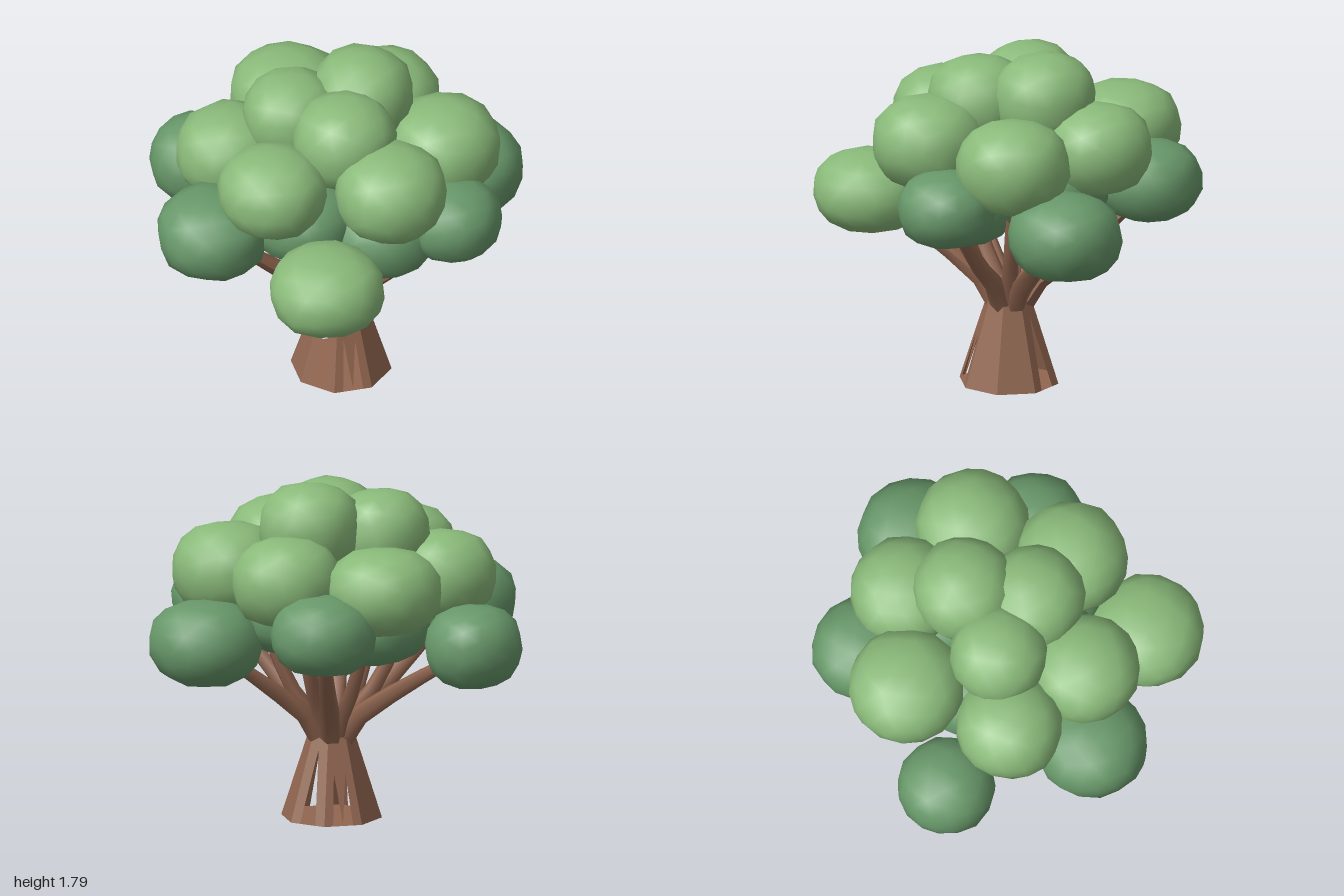
import * as THREE from 'three';
import { mergeVertices } from 'three/addons/utils/BufferGeometryUtils.js';

const material = (name, color, side = THREE.FrontSide) => {
  const m = new THREE.MeshStandardMaterial({ color, side });
  m.name = name;
  return m;
};

function seeded(seed) {
  let s = seed;
  return () => ((s = (s * 16807) % 2147483647) / 2147483647);
}

// Lumpy, slightly boxy ball of leaves, wide radius r and half height h
function leafBall(r, h, seed) {
  const rand = seeded(seed * 7919 + 13);
  let geo = new THREE.IcosahedronGeometry(1, 2);
  geo.deleteAttribute('normal');
  geo.deleteAttribute('uv');
  geo = mergeVertices(geo, 1e-3);
  geo.rotateX(rand() * 3).rotateY(rand() * 6);
  const pos = geo.attributes.position;
  const v = new THREE.Vector3();
  for (let i = 0; i < pos.count; i++) {
    v.fromBufferAttribute(pos, i);
    const round = Math.hypot(v.x, v.z);
    v.divideScalar(Math.pow(round ** 2.5 + Math.abs(v.y) ** 2.5, 1 / 2.5));
    v.multiplyScalar(0.98 + rand() * 0.04);
    pos.setXYZ(i, v.x * r, v.y * h, v.z * r);
  }
  geo.computeVertexNormals();
  return geo;
}

// Curved limb that thins towards its tip
function limbGeometry(points, r0, r1) {
  const segments = 4, sides = 6;
  const curve = new THREE.CatmullRomCurve3(points);
  const geo = new THREE.TubeGeometry(curve, segments, 1, sides);
  const pos = geo.attributes.position;
  const v = new THREE.Vector3();
  for (let i = 0; i < pos.count; i++) {
    const t = Math.floor(i / (sides + 1)) / segments;
    const c = curve.getPointAt(t);
    v.fromBufferAttribute(pos, i).sub(c).multiplyScalar(r0 + (r1 - r0) * t).add(c);
    pos.setXYZ(i, v.x, v.y, v.z);
  }
  geo.computeVertexNormals();
  return geo;
}

export function createModel() {
  const tree = new THREE.Group();
  tree.name = 'tree';
  const bark = material('bark', 0x916650, THREE.DoubleSide);
  const lightLeaf = material('lightLeaf', 0x8aba7a);
  const darkLeaf = material('darkLeaf', 0x68986a);

  const add = (parent, name, geo, mat) => {
    const mesh = new THREE.Mesh(geo, mat);
    mesh.name = name;
    parent.add(mesh);
    return mesh;
  };

  // Flared trunk of eight sloping panels with split bark
  const trunk = new THREE.Group();
  trunk.name = 'trunk';
  tree.add(trunk);
  const sides = 8, low = 0.24, high = 0.11, height = 0.44;
  const half = Math.tan(Math.PI / sides);
  const slope = Math.hypot(height, low - high);
  const doubleSplit = [[-0.053, 0], [-0.03, 0.27], [0, 0.01], [0.03, 0.27], [0.053, 0]];
  const tallSplit = [[-0.045, 0], [0, 0.39], [0.045, 0]];
  const splits = { 0: doubleSplit, 4: doubleSplit, 3: tallSplit, 7: tallSplit };
  for (let i = 0; i < sides; i++) {
    const panel = new THREE.Shape();
    panel.moveTo(-low * half, 0);
    (splits[i] ?? []).forEach(([x, y]) => panel.lineTo(x, y));
    panel.lineTo(low * half, 0);
    panel.lineTo(high * half, slope);
    panel.lineTo(-high * half, slope);
    const geo = new THREE.ShapeGeometry(panel);
    geo.rotateX(-Math.atan2(low - high, height));
    geo.translate(0, 0, low);
    geo.rotateY((i / sides) * Math.PI * 2);
    add(trunk, 'trunkPanel', geo, bark);
  }
  const base = new THREE.CircleGeometry(low / Math.cos(Math.PI / sides), sides);
  base.rotateZ(Math.PI / sides).rotateX(Math.PI / 2);
  add(trunk, 'trunkBase', base, bark);
  const fork = new THREE.CylinderGeometry(0.075, 0.11, 0.12, sides);
  fork.translate(0, 0.49, 0);
  add(trunk, 'fork', fork, bark);

  // Leaf balls: x, y, z, radius, half height
  const upper = [
    [-0.12, 1.305, -0.61, 0.295, 0.22],
    [0.34, 1.335, -0.405, 0.28, 0.23],
    [-0.53, 1.285, -0.22, 0.275, 0.225],
    [-0.225, 1.505, -0.14, 0.25, 0.225],
    [0.155, 1.55, -0.16, 0.262, 0.237],
    [-0.43, 1.335, 0.255, 0.28, 0.217],
    [0.525, 1.315, 0.06, 0.29, 0.237],
    [-0.02, 1.505, 0.15, 0.265, 0.23],
    [0.145, 1.35, 0.44, 0.288, 0.233],
    [-0.255, 0.975, 0.68, 0.295, 0.203],
  ];
  const lower = [
    [-0.595, 0.99, -0.605, 0.25, 0.21],
    [0.22, 1.115, -0.695, 0.268, 0.205],
    [0.71, 0.99, -0.18, 0.292, 0.217],
    [0.485, 1.095, 0.395, 0.253, 0.193],
    [-0.72, 1.065, 0.155, 0.285, 0.217],
    [0.13, 1.01, 0.28, 0.3, 0.21],
    [-0.15, 1.05, -0.25, 0.3, 0.2],
    [-0.25, 1.1, 0.2, 0.28, 0.2],
    [0.25, 1.12, -0.2, 0.28, 0.2],
  ];
  const crown = new THREE.Group();
  crown.name = 'crown';
  tree.add(crown);
  const addBalls = (list, name, mat, seed) => list.forEach(([x, y, z, r, h], i) => {
    add(crown, name, leafBall(r, h, seed + i), mat).position.set(x, y, z);
  });
  addBalls(upper, 'upperLeaves', lightLeaf, 1);
  addBalls(lower, 'lowerLeaves', darkLeaf, 31);

  // Branches fan out from the fork into the leaf balls
  const branches = new THREE.Group();
  branches.name = 'branches';
  tree.add(branches);
  const outer = [...lower.slice(0, 5), upper[9]];
  const inner = [0, 1, 2, 5, 6, 8].map((i) => upper[i]);
  const addBranch = ([x, y, z], reach, r0) => {
    const d = Math.hypot(x, z);
    const at = (radius, h) => new THREE.Vector3((x / d) * radius, h, (z / d) * radius);
    const tip = d * reach;
    add(branches, 'branch', limbGeometry([
      at(0.045, 0.38),
      at(0.06 + tip * 0.12, 0.53),
      at(0.08 + tip * 0.42, 0.7),
      at(tip, Math.min(y - 0.08, 0.97)),
    ], r0, 0.03), bark);
  };
  outer.forEach((b) => addBranch(b, 0.86, 0.062));
  inner.forEach((b) => addBranch(b, 0.62, 0.052));

  return tree;
}
